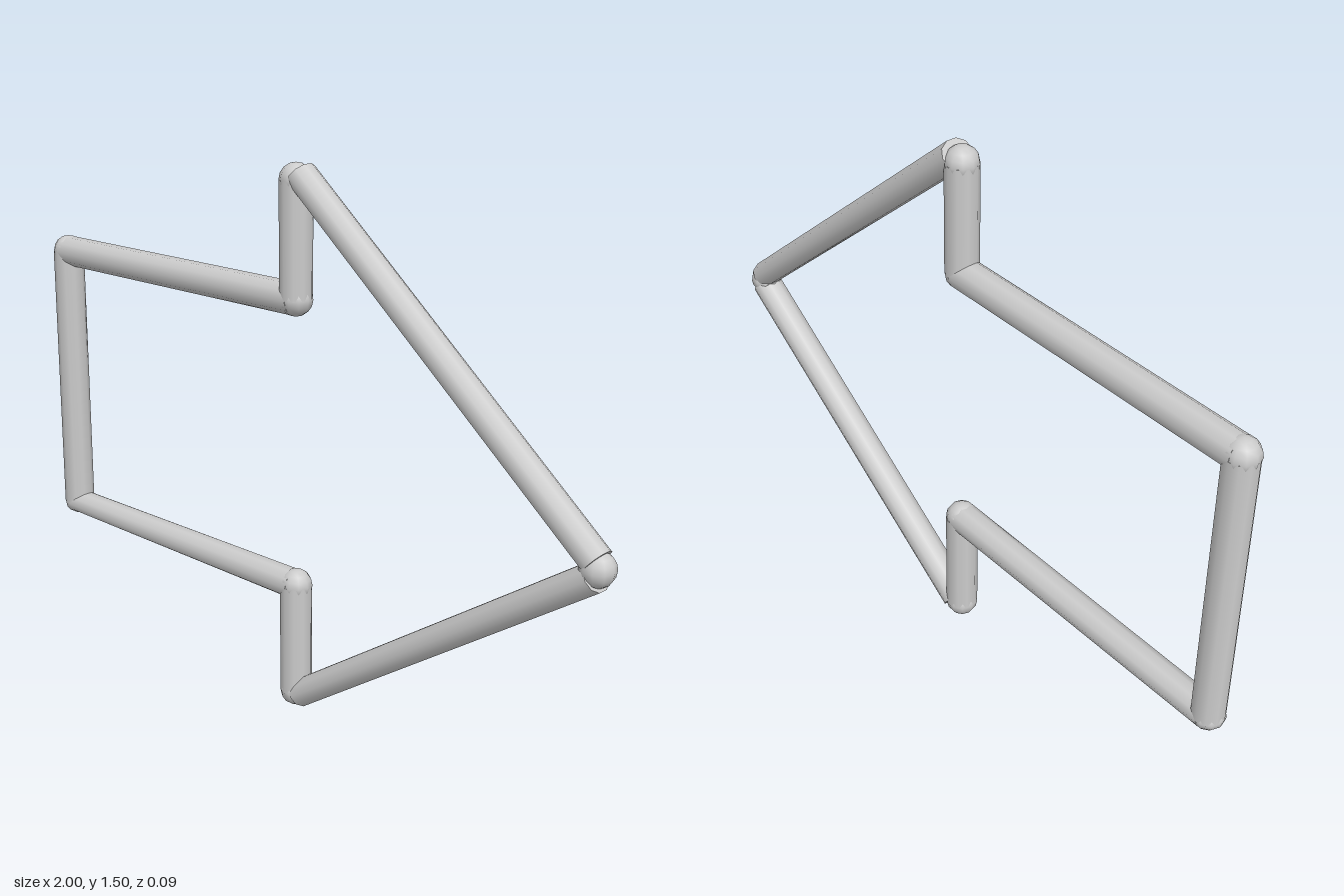
import * as THREE from 'three';

const R = 0.045;
const SIDES = 10;

export function createModel() {
  const model = new THREE.Group();
  model.name = 'arrowFrame';
  const material = new THREE.MeshStandardMaterial({ color: 0xcccccc });

  // Straight rod from a to b; w0 and w1 are its in-plane half widths at the ends
  function rod(name, a, b, w0 = 0.043, w1 = w0) {
    const dx = b[0] - a[0], dy = b[1] - a[1];
    const length = Math.hypot(dx, dy);
    const geometry = new THREE.CylinderGeometry(R, R, length, SIDES, 1);
    const p = geometry.attributes.position;
    for (let i = 0; i < p.count; i++) {
      const t = p.getY(i) / length + 0.5;
      p.setX(i, p.getX(i) * THREE.MathUtils.lerp(w0, w1, t) / (R * Math.cos(Math.PI / SIDES / 2)));
    }
    const mesh = new THREE.Mesh(geometry, material);
    mesh.name = name;
    mesh.position.set((a[0] + b[0]) / 2, (a[1] + b[1]) / 2, 0);
    mesh.rotation.z = Math.atan2(-dx, dy);
    model.add(mesh);
  }

  // Corner points of the arrow outline
  const tailTop = [-0.955, 1.155], neckTop = [-0.005, 1.155], barbTop = [-0.005, 1.461];
  const tip = [0.953, 0.682];
  const barbBottom = [-0.005, 0.048], neckBottom = [-0.005, 0.361], tailBottom = [-0.955, 0.365];

  // Shaft
  rod('tailRod', tailBottom, tailTop);
  rod('shaftTopRod', tailTop, neckTop);
  rod('shaftBottomRod', tailBottom, neckBottom, 0.033, 0.041);

  // Head
  rod('barbTopRod', neckTop, barbTop);
  rod('barbBottomRod', barbBottom, neckBottom);
  rod('headTopRod', [0.013, 1.477], [0.95, 0.7], 0.038);
  rod('headBottomRod', [0.016, 0.043], [0.95, 0.664], 0.039);

  // Rounded corners
  const corners = { tailTop, neckTop, barbTop, tip, barbBottom, neckBottom, tailBottom };
  for (const [name, [x, y]] of Object.entries(corners)) {
    const r = name === 'tailBottom' ? 0.037 : R;
    const joint = new THREE.Mesh(new THREE.SphereGeometry(R, SIDES, 8), material);
    joint.name = name + 'Joint';
    joint.position.set(x, y, 0);
    joint.scale.y = r / R;
    model.add(joint);
  }

  return model;
}
